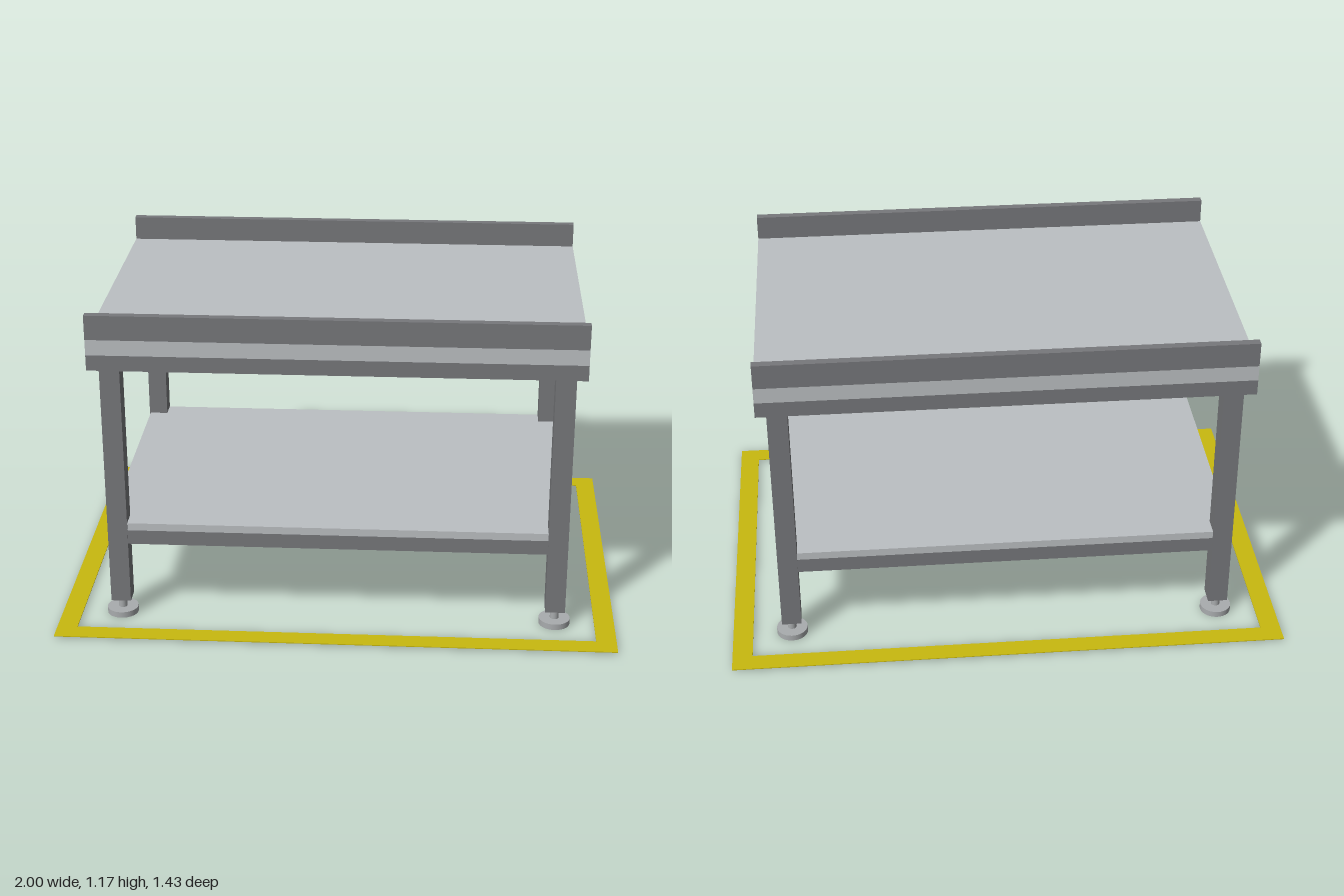
import * as THREE from 'three';

const mat = (name, color) => {
  const m = new THREE.MeshStandardMaterial({ color });
  m.name = name;
  return m;
};

export function createModel() {
  const light = mat('lightSteel', 0xbcc0c3);
  const dark = mat('darkSteel', 0x77787b);
  const footMetal = mat('footMetal', 0xa9acae);
  const yellow = mat('floorYellow', 0xc8b90f);

  const model = new THREE.Group();
  model.name = 'workTable';

  const add = (parent, name, geometry, material, x = 0, y = 0, z = 0) => {
    const mesh = new THREE.Mesh(geometry, material);
    mesh.name = name;
    mesh.position.set(x, y, z);
    parent.add(mesh);
    return mesh;
  };
  // Box given by its width, depth and bottom/top heights
  const box = (parent, name, material, w, d, y0, y1, x = 0, z = 0) =>
    add(parent, name, new THREE.BoxGeometry(w, y1 - y0, d), material, x, (y0 + y1) / 2, z);

  // Table top on its frame
  box(model, 'tableTop', light, 1.714, 1.142, 1.03, 1.086);
  box(model, 'topFrame', dark, 1.714, 1.142, 0.974, 1.03);

  // Lower shelf
  box(model, 'lowerShelf', light, 1.634, 1.064, 0.345, 0.373);

  for (const [side, sz] of [['front', 1], ['back', -1]]) {
    // Raised lip along the long edge and rail under the shelf
    box(model, side + 'Lip', dark, 1.714, 0.029, 1.086, 1.174, 0, sz * 0.5565);
    box(model, side + 'ShelfRail', dark, 1.5, 0.066, 0.291, 0.345, 0, sz * 0.499);

    for (const [hand, sx] of [['Left', 1], ['Right', -1]]) {
      // Leg with a levelling foot
      const leg = new THREE.Group();
      leg.name = side + hand + 'Leg';
      leg.position.set(sx * 0.785, 0, sz * 0.5);
      model.add(leg);
      box(leg, 'post', dark, 0.071, 0.071, 0.06, 0.974);
      add(leg, 'footStem', new THREE.CylinderGeometry(0.016, 0.016, 0.04, 16), footMetal, 0, 0.041, 0);
      add(leg, 'footDisc', new THREE.CylinderGeometry(0.056, 0.056, 0.022, 32), footMetal, 0, 0.011, 0);
    }
  }

  // Painted floor outline
  const rect = (shape, x, z) =>
    shape.moveTo(-x, -z).lineTo(x, -z).lineTo(x, z).lineTo(-x, z).closePath();
  const outline = rect(new THREE.Shape(), 1, 0.714);
  outline.holes.push(rect(new THREE.Path(), 0.928, 0.643));
  const marking = new THREE.ExtrudeGeometry(outline, { depth: 0.003, bevelEnabled: false });
  marking.rotateX(-Math.PI / 2);
  add(model, 'floorMarking', marking, yellow, 0, 0.006, 0);

  return model;
}
